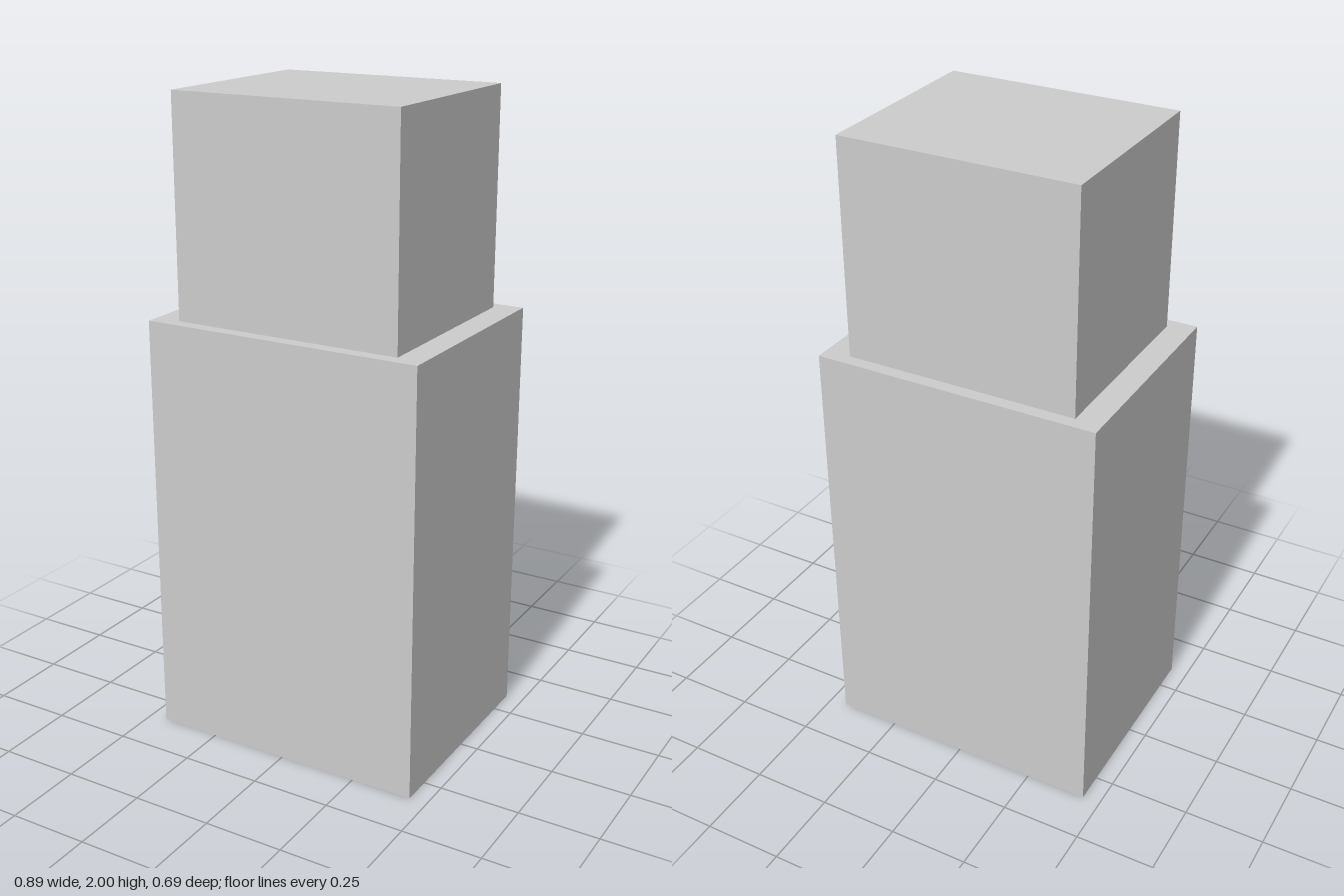
import * as THREE from 'three';

const material = new THREE.MeshStandardMaterial({ color: 0xcccccc });

// Box standing on height y
function block(name, width, height, depth, y) {
  const mesh = new THREE.Mesh(new THREE.BoxGeometry(width, height, depth), material);
  mesh.name = name;
  mesh.position.y = y + height / 2;
  return mesh;
}

export function createModel() {
  const model = new THREE.Group();
  model.name = 'steppedBlock';

  const bodyHeight = 1.333;
  // Wide lower body
  model.add(block('body', 0.888, bodyHeight, 0.692, 0));
  // Narrower upper block, centred on the body
  model.add(block('cap', 0.726, 2 - bodyHeight, 0.612, bodyHeight));

  return model;
}
